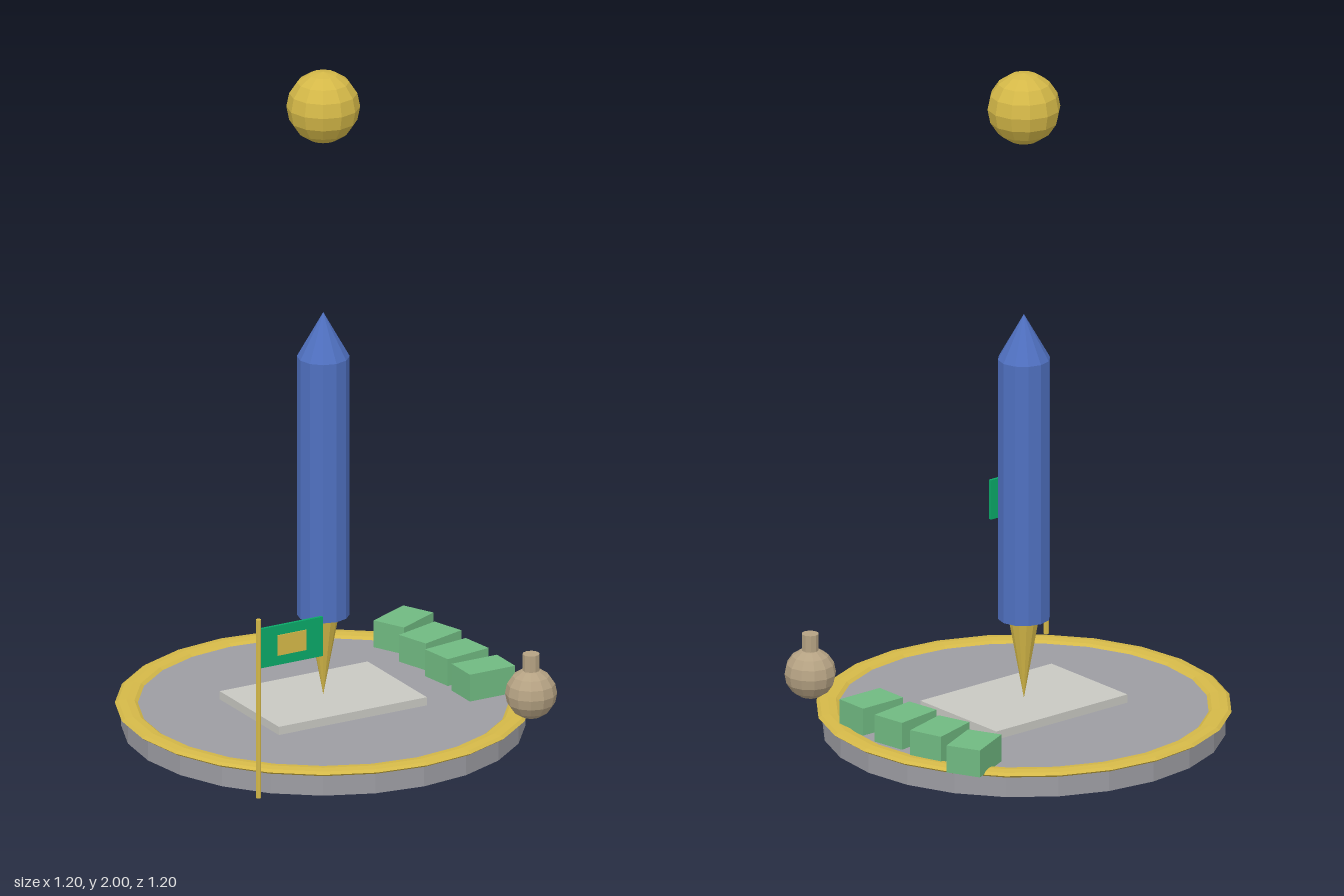
import * as THREE from 'three';

const mat = (name, color) => {
  const m = new THREE.MeshStandardMaterial({ color, flatShading: true });
  m.name = name;
  return m;
};

export function createModel() {
  const group = new THREE.Group();
  const gold = mat('gold', 0xd4b848);
  const blue = mat('blue', 0x4f70c0);
  const grey = mat('stone grey', 0x9c9ca2);
  const pale = mat('pale stone', 0xc8c8c2);
  const leaf = mat('soft green', 0x70b981);
  const emerald = mat('flag green', 0x0aa868);
  const clay = mat('clay', 0xb5a283);

  const add = (name, geometry, material, x, y, z, parent = group) => {
    const mesh = new THREE.Mesh(geometry, material);
    mesh.name = name;
    mesh.position.set(x, y, z);
    parent.add(mesh);
    return mesh;
  };

  // Round base with a flattened rim
  add('base', new THREE.CylinderGeometry(0.58, 0.58, 0.07, 24), grey, 0, 0.035, 0);
  const rim = new THREE.TorusGeometry(0.565, 0.033, 8, 24);
  rim.rotateX(-Math.PI / 2).scale(1, 0.3, 1);
  add('baseRim', rim, gold, 0, 0.07, 0);
  add('plinth', new THREE.BoxGeometry(0.49, 0.025, 0.34), pale, 0, 0.083, 0);

  // Central column balanced on a point
  add('columnPoint', new THREE.ConeGeometry(0.045, 0.245, 12).rotateX(Math.PI), gold, 0, 0.2175, 0);
  add('column', new THREE.CylinderGeometry(0.076, 0.076, 0.79, 12), blue, 0, 0.735, 0);
  add('columnTip', new THREE.ConeGeometry(0.076, 0.135, 12), blue, 0, 1.1975, 0);

  // Floating orb
  add('orb', new THREE.SphereGeometry(0.106, 12, 8), gold, 0, 1.894, 0);

  // Curved row of blocks
  for (let i = 0; i < 4; i++) {
    const block = add('block' + (i + 1), new THREE.BoxGeometry(0.15, 0.082, 0.105), leaf, 0.442, 0.112, 0.153 - i * 0.153);
    block.rotation.y = i * 0.15;
  }

  // Round bottle
  const bottle = new THREE.Group();
  bottle.name = 'bottle';
  bottle.position.set(0.442, 0, 0.427);
  group.add(bottle);
  add('bottleBody', new THREE.SphereGeometry(0.075, 12, 8), clay, 0, 0.155, 0, bottle);
  add('bottleNeck', new THREE.CylinderGeometry(0.025, 0.025, 0.06, 10), clay, 0, 0.245, 0, bottle);

  // Flag on a pole
  const flag = new THREE.Group();
  flag.name = 'flag';
  flag.position.set(-0.505, 0, 0.505);
  group.add(flag);
  add('flagPole', new THREE.CylinderGeometry(0.008, 0.008, 0.545, 8), gold, 0, 0.3075, 0, flag);
  add('flagCloth', new THREE.BoxGeometry(0.208, 0.12, 0.009), emerald, 0.106, 0.491, 0, flag);
  for (const s of [-1, 1]) {
    add('flagPatch', new THREE.BoxGeometry(0.095, 0.062, 0.004), gold, 0.107, 0.491, s * 0.005, flag);
  }

  return group;
}
